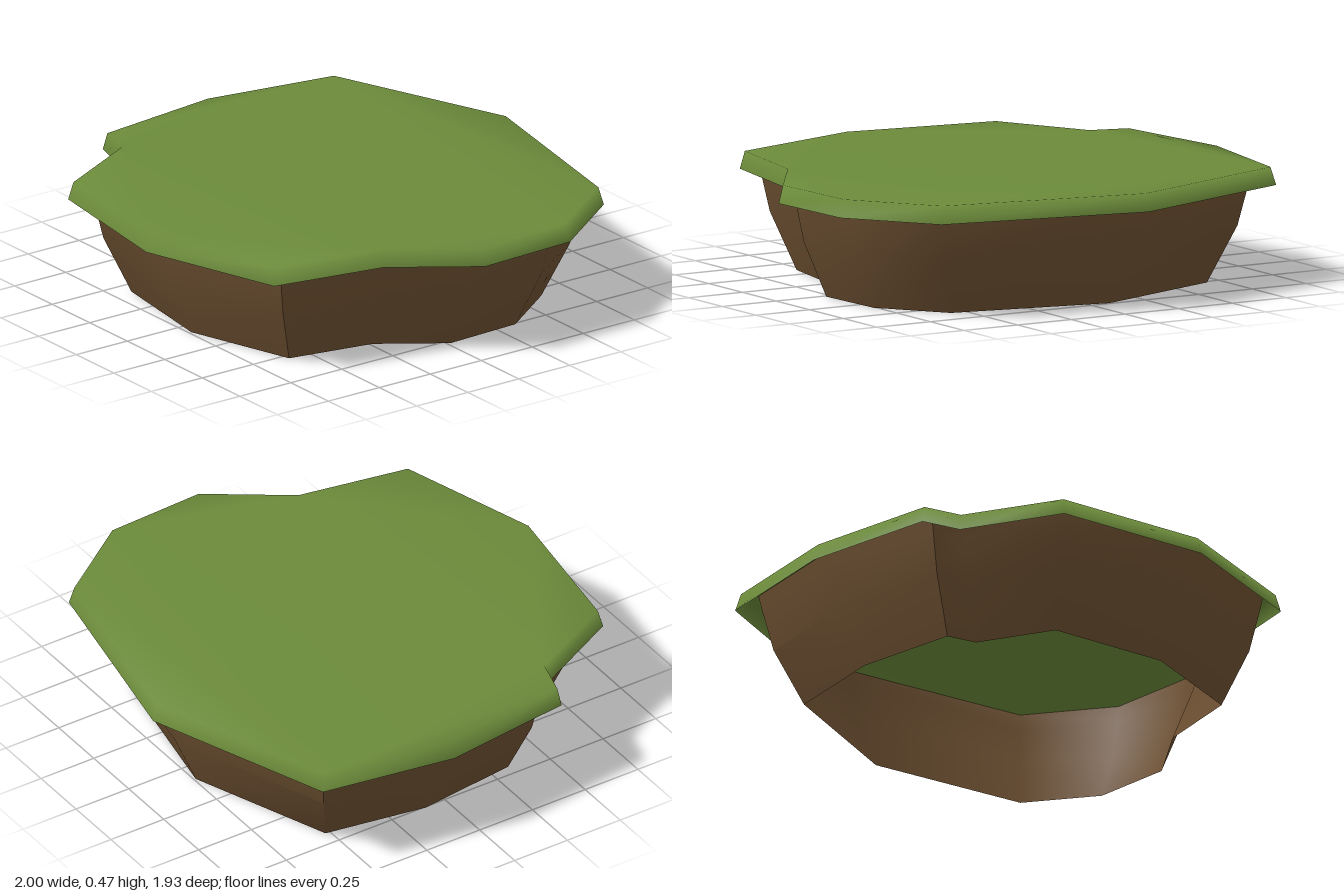
import * as THREE from 'three';
import { toCreasedNormals } from 'three/addons/utils/BufferGeometryUtils.js';

// Irregular outline of the slab (x, z), clockwise seen from above
const OUTLINE = [
  [-0.13, -0.97], [0.73, -0.80], [0.98, -0.45], [1.0, -0.02],
  [0.77, 0.31], [0.68, 0.78], [0.08, 0.965], [-0.57, 0.87],
  [-0.77, 0.48], [-0.93, 0.435], [-1.0, -0.12], [-0.905, -0.68],
];

// Stacks scaled copies of the outline; each ring is [scale, y]
function ringShell(rings, capped, shiftX = 0) {
  const n = OUTLINE.length;
  const positions = [];
  const index = [];
  for (const [s, y] of rings) {
    for (const [x, z] of OUTLINE) positions.push(x * s + shiftX, y, z * s);
  }
  for (let r = 0; r < rings.length - 1; r++) {
    for (let i = 0; i < n; i++) {
      const j = (i + 1) % n;
      const a = r * n + i, b = r * n + j;
      index.push(b, a, a + n, b, a + n, b + n);
    }
  }
  if (capped) {
    const base = (rings.length - 1) * n;
    const pts = OUTLINE.map(([x, z]) => new THREE.Vector2(x, -z));
    for (const [a, b, c] of THREE.ShapeUtils.triangulateShape(pts, [])) {
      const up = THREE.ShapeUtils.area([pts[a], pts[b], pts[c]]) > 0;
      index.push(base + a, base + (up ? b : c), base + (up ? c : b));
    }
  }
  const geometry = new THREE.BufferGeometry();
  geometry.setAttribute('position', new THREE.Float32BufferAttribute(positions, 3));
  geometry.setIndex(index);
  geometry.computeVertexNormals();
  return geometry;
}

export function createModel() {
  const grass = new THREE.MeshStandardMaterial({ color: 0x6b8a3a, side: THREE.DoubleSide });
  grass.name = 'grass green';
  const earth = new THREE.MeshStandardMaterial({ color: 0x6b4e30, side: THREE.DoubleSide });
  earth.name = 'earth brown';

  const group = new THREE.Group();
  group.name = 'grassyGroundPatch';

  // Overhanging turf: open underneath, softly shaded over its rim
  const turf = new THREE.Mesh(ringShell([[1, 0.393], [0.98, 0.465]], true), grass);
  turf.name = 'grassTop';

  // Hollow earth wall, tapering inwards to an open bottom
  const wallRings = [[0.765, 0], [0.872, 0.23], [0.91, 0.393], [0.925, 0.463]];
  const wall = new THREE.Mesh(toCreasedNormals(ringShell(wallRings, false, 0.01), 0.95), earth);
  wall.name = 'earthWall';

  group.add(turf, wall);
  return group;
}
